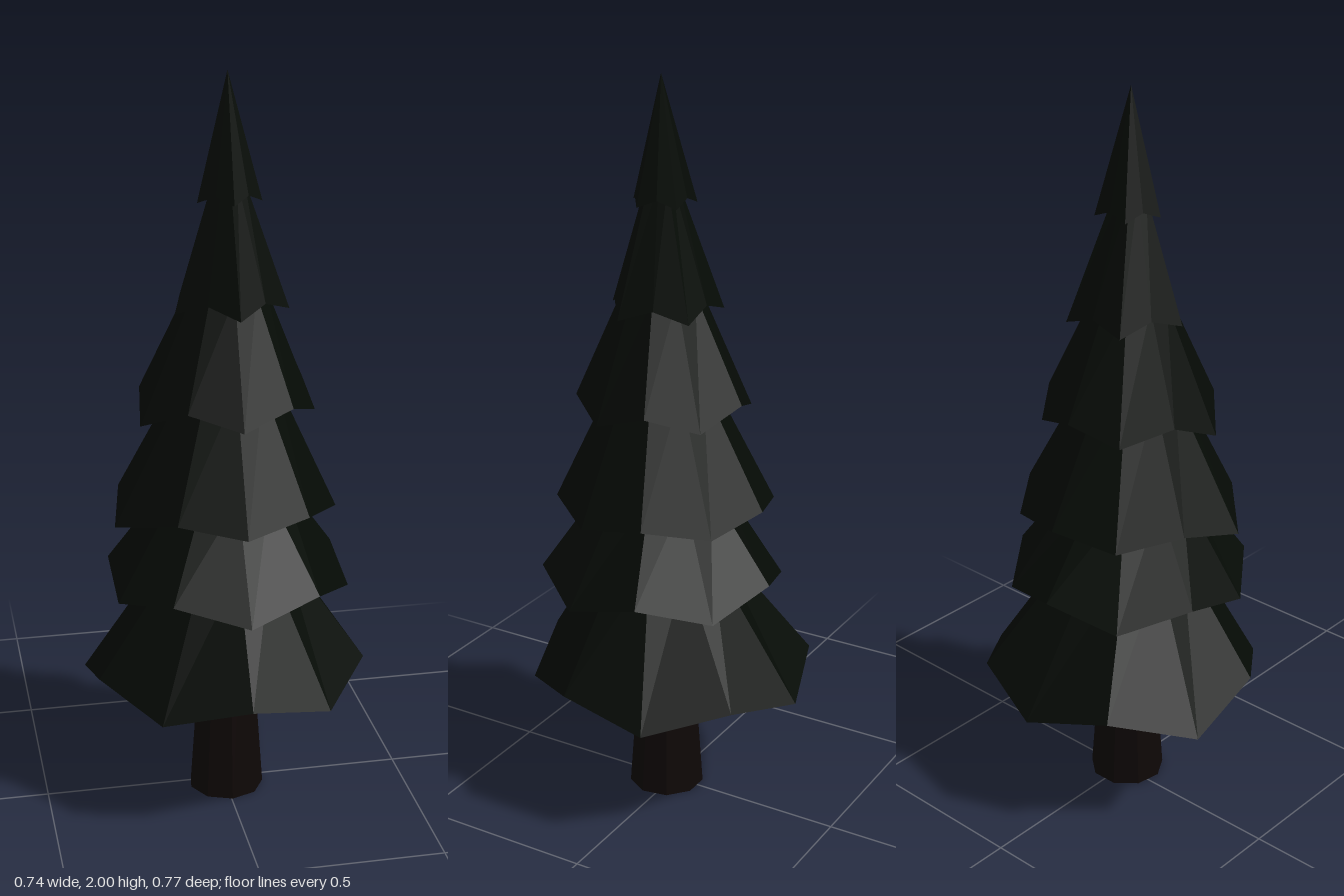
import * as THREE from 'three';

const needles = new THREE.MeshStandardMaterial({ color: 0x050a05, flatShading: true });
const bark = new THREE.MeshStandardMaterial({ color: 0x0e0706, flatShading: true });

const SIDES = 10;

// Ring of points round a centre (x, z); the first points forward.
// Odd points can have their own height and be drawn in by a factor.
function ring(r, x, z, yEven, yOdd = yEven, oddScale = 1) {
  return Array.from({ length: SIDES }, (_, i) => {
    const a = (i / SIDES) * Math.PI * 2;
    const d = i % 2 ? r * oddScale : r;
    return [x + d * Math.sin(a), i % 2 ? yOdd : yEven, z + d * Math.cos(a)];
  });
}

// Faceted skin through successive rings.
function loft(rings) {
  const pos = [];
  for (let j = 0; j < rings.length - 1; j++) {
    const lo = rings[j], up = rings[j + 1];
    for (let i = 0; i < SIDES; i++) {
      const k = (i + 1) % SIDES;
      pos.push(...lo[i], ...lo[k], ...up[k], ...lo[i], ...up[k], ...up[i]);
    }
  }
  const g = new THREE.BufferGeometry();
  g.setAttribute('position', new THREE.Float32BufferAttribute(pos, 3));
  g.computeVertexNormals();
  return g;
}

export function createModel() {
  const tree = new THREE.Group();
  tree.name = 'pineTree';

  // Tapered trunk, reaching up inside the lowest tier
  const trunk = new THREE.Mesh(new THREE.CylinderGeometry(0.06, 0.104, 0.62, 9), bark);
  trunk.name = 'trunk';
  trunk.position.set(0.003, 0.31, 0.02);
  tree.add(trunk);

  // Branch tiers from the bottom up: rim, top and hollow underside.
  // Scale pent (cosine of 36 degrees) makes a tier five-sided.
  // Droop names the one rim corner that hangs lower and further out.
  const pent = Math.cos(Math.PI / 5);
  const tiers = [
    { r: 0.384, x: 0.004, z: 0, even: 0.405, odd: 0.35, topR: 0.155, topY: 0.72, inR: 0.05, inY: 0.56, scale: 1, droop: 7, out: 0.012 },
    { r: 0.328, x: 0.005, z: 0.03, even: 0.63, odd: 0.68, topR: 0.15, topY: 0.92, inR: 0.13, inY: 0.715, scale: 1 },
    { r: 0.293, x: 0.004, z: 0.02, even: 0.857, odd: 0.887, topR: 0.125, topY: 1.21, inR: 0.13, inY: 0.915, scale: 1, droop: 8, out: 0.035 },
    { r: 0.232, x: 0.004, z: 0.025, even: 1.126, odd: 1.17, topR: 0.1, topY: 1.45, inR: 0.1, inY: 1.2, scale: 1, droop: 8, out: 0.02 },
    { r: 0.157, x: 0.01, z: 0.022, even: 1.395, odd: 1.425, topR: 0.042, topY: 1.73, inR: 0.07, inY: 1.445, scale: pent },
    { r: 0.088, x: 0.006, z: 0.027, even: 1.675, odd: 1.695, topR: 0, topY: 2, inR: 0.03, inY: 1.71, scale: pent },
  ];
  tiers.forEach((t, i) => {
    const rim = ring(t.r, t.x, t.z, t.even, t.odd, t.scale);
    if (t.droop) {
      rim[t.droop][0] -= t.out;
      rim[t.droop][1] -= 0.018;
    }
    const tier = new THREE.Mesh(loft([
      ring(t.inR, 0.004, 0.028, t.inY),
      rim,
      ring(t.topR, 0.004, 0.033, t.topY, t.topY, t.scale),
    ]), needles);
    tier.name = `branchTier${i + 1}`;
    tree.add(tier);
  });

  return tree;
}
